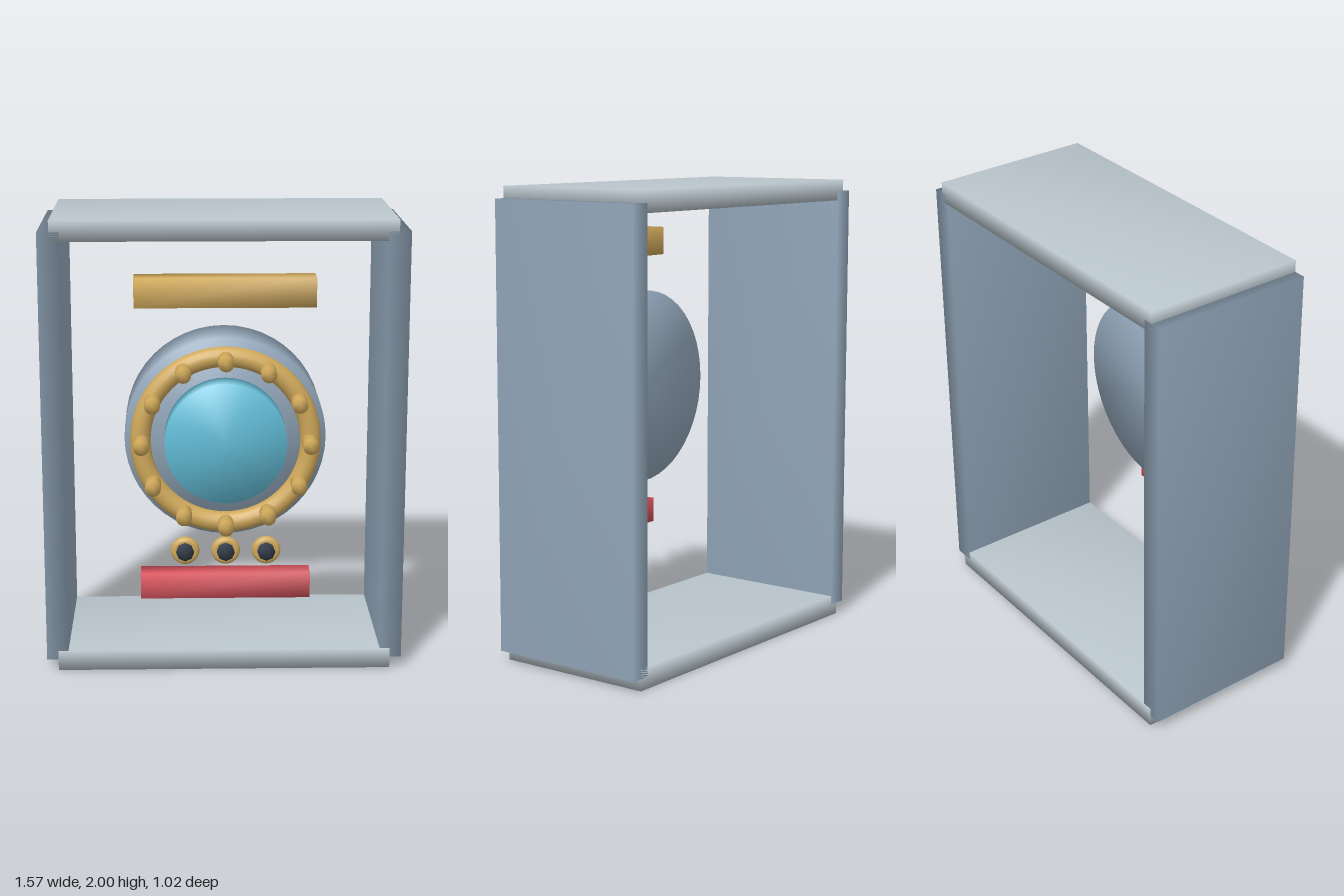
import * as THREE from 'three';
import { mergeVertices } from 'three/addons/utils/BufferGeometryUtils.js';

const mat = (name, color) => new THREE.MeshStandardMaterial({ name, color });

// Weld corners so the shading runs smoothly over every edge
function soften(geometry) {
  geometry.deleteAttribute('normal');
  geometry.deleteAttribute('uv');
  geometry.clearGroups();
  const welded = mergeVertices(geometry, 1e-4);
  welded.computeVertexNormals();
  return welded;
}

export function createModel() {
  const model = new THREE.Group();
  model.name = 'portholeFrame';
  const steel = mat('blue steel', 0x90a4b7);
  const paleSteel = mat('pale steel', 0xb9c5cc);
  const brass = mat('brass', 0xcfa85a);
  const glass = mat('cyan glass', 0x62bcd6);
  const red = mat('red', 0xd6505a);
  const dark = mat('dark slate', 0x343d4a);

  const add = (name, geometry, material, x, y, z) => {
    const mesh = new THREE.Mesh(geometry, material);
    mesh.name = name;
    mesh.position.set(x, y, z);
    model.add(mesh);
    return mesh;
  };
  const box = (w, h, d) => soften(new THREE.BoxGeometry(w, h, d));
  // Cylinder along z
  const disc = (r, depth, sides) =>
    soften(new THREE.CylinderGeometry(r, r, depth, sides).rotateX(Math.PI / 2));

  // Open rectangular frame
  for (const s of [-1, 1]) {
    add(s > 0 ? 'leftPanel' : 'rightPanel', box(0.095, 1.9, 0.71), steel, s * 0.738, 1, -0.155);
    add(s > 0 ? 'topPanel' : 'bottomPanel', box(1.47, 0.09, 0.71), paleSteel, 0, 1 + s * 0.955, -0.155);
  }

  // Porthole: drum, rim, glass and bolts
  const cy = 1.1;
  add('drum', disc(0.425, 0.28, 48), steel, 0, cy, 0.19);
  add('rim', new THREE.TorusGeometry(0.357, 0.043, 16, 64), brass, 0, cy, 0.382);
  add('glass', disc(0.256, 0.125, 48), glass, 0, cy, 0.3925);
  const boltGeometry = disc(0.033, 0.1, 16);
  for (let i = 0; i < 12; i++) {
    const a = (i / 12) * Math.PI * 2;
    add('bolt', boltGeometry, brass, Math.cos(a) * 0.352, cy + Math.sin(a) * 0.352, 0.46);
  }

  // Bars above and below the porthole
  add('upperBar', box(0.76, 0.125, 0.115), brass, 0, 1.717, 0.287);
  add('lowerBar', box(0.725, 0.112, 0.1), red, 0, 0.452, 0.325);

  // Row of three ringed knobs
  const ringGeometry = new THREE.TorusGeometry(0.041, 0.02, 12, 32);
  const knobGeometry = disc(0.038, 0.05, 8);
  for (const x of [-0.172, 0, 0.172]) {
    add('knobRing', ringGeometry, brass, x, 0.622, 0.403);
    add('knob', knobGeometry, dark, x, 0.622, 0.415);
  }
  return model;
}
